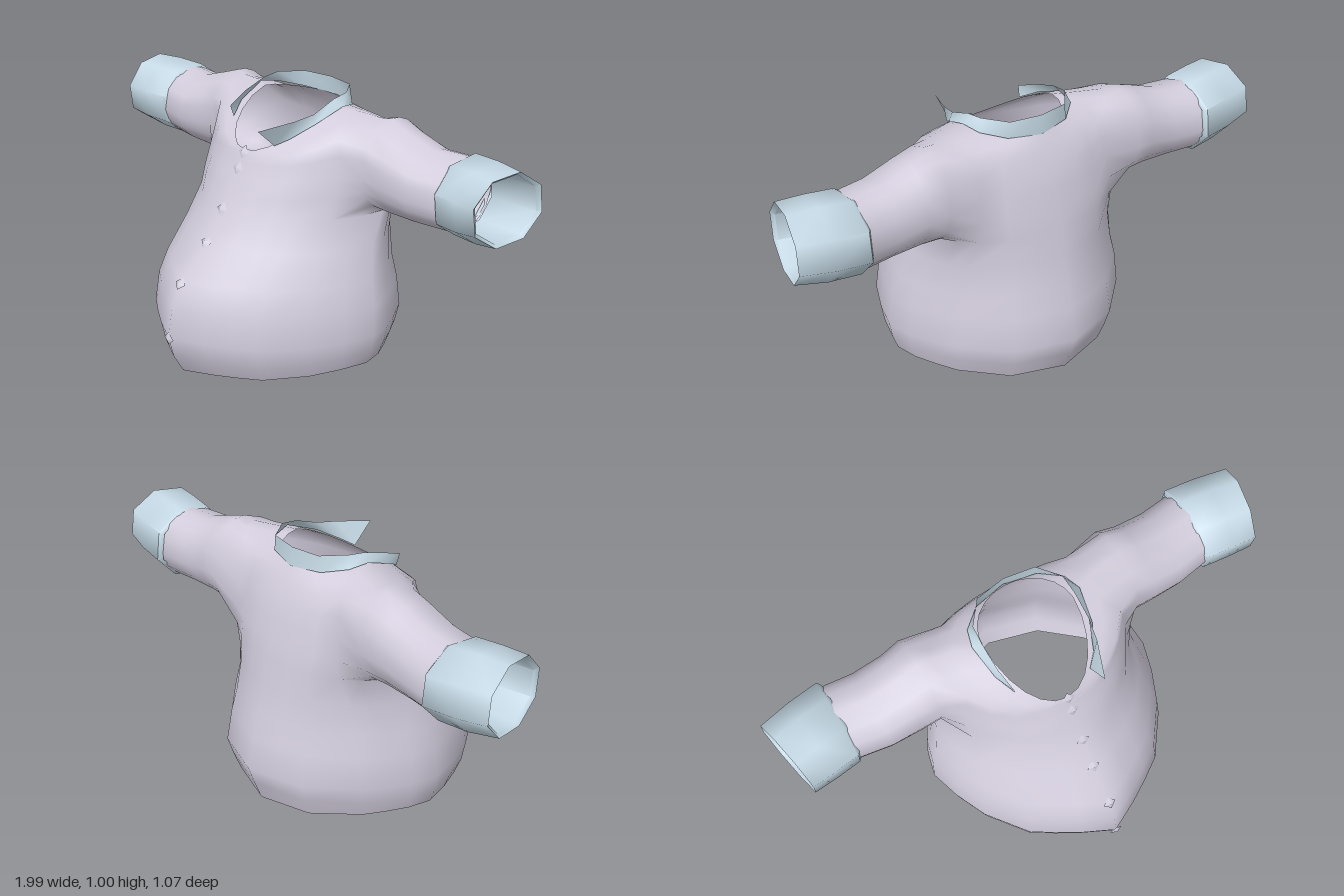
import * as THREE from 'three';
import { toCreasedNormals } from 'three/addons/utils/BufferGeometryUtils.js';

const N = 24; // columns around the torso, column 0 is the front
const fabric = new THREE.MeshStandardMaterial({ color: 0xd2ccdc, side: THREE.DoubleSide });
const trim = new THREE.MeshStandardMaterial({ color: 0xc4d8e4, side: THREE.DoubleSide });

// torso rings: half width, front z, back z, widest z, then y at front, side, back
const ROWS = [
  [0.47, 0.465, -0.475, -0.04, 0.012, 0.047, 0.022],
  [0.49, 0.508, -0.505, -0.04, 0.085, 0.1, 0.1],
  [0.503, 0.53, -0.53, -0.04, 0.17, 0.17, 0.175],
  [0.492, 0.51, -0.50, -0.05, 0.29, 0.29, 0.3],
  [0.465, 0.465, -0.475, -0.06, 0.38, 0.38, 0.39],
  [0.43, 0.345, -0.445, -0.10, 0.50, 0.50, 0.50],
  [0.405, 0.265, -0.425, -0.17, 0.61, 0.61, 0.61],
  [0.40, 0.225, -0.405, -0.19, 0.68, 0.69, 0.68],
  [0.395, 0.195, -0.385, -0.19, 0.73, 0.78, 0.76],
  [0.385, 0.17, -0.365, -0.19, 0.78, 0.88, 0.82],
  [0.37, 0.16, -0.34, -0.18, 0.80, 0.96, 0.87],
  [0.28, 0.155, -0.32, -0.16, 0.81, 0.967, 0.91],
  [0.185, 0.15, -0.295, -0.12, 0.82, 0.967, 0.945],
];
const ARM_LOW = 6, ARM_HIGH = 10, ARM_COLS = 5;

// faceted plan of the belly, from front over the side to the back
const PLAN_X = [0, 0.25, 0.42, 0.59, 0.82, 0.93, 1, 0.95, 0.86, 0.76, 0.44, 0.22, 0];
const PLAN_Z = [1, 0.89, 0.8, 0.7, 0.43, 0.21, 0, -0.2, -0.38, -0.55, -0.86, -0.93, -1];

// point on a ring from its plan direction (sx sideways, cz forwards)
function ringPoint([hw, zf, zb, zc, yf, ys, yb], sx, cz) {
  const z = cz > 0 ? zc + (zf - zc) * cz : zc - (zb - zc) * cz;
  return [hw * sx, ys + ((cz > 0 ? yf : yb) - ys) * Math.abs(cz) ** 1.35, z];
}

// faceted below, rounding to an ellipse towards the neck
function torsoPoint(r, i) {
  const a = (i / N) * Math.PI * 2, half = Math.min(i, N - i);
  const round = THREE.MathUtils.clamp((r - 4) / 3, 0, 1);
  const sx = THREE.MathUtils.lerp(PLAN_X[half] * (i > N / 2 ? -1 : 1), Math.sin(a), round);
  return ringPoint(ROWS[r], sx, THREE.MathUtils.lerp(PLAN_Z[half], Math.cos(a), round));
}

function buildGeometry(points, index) {
  const g = new THREE.BufferGeometry();
  g.setAttribute('position', new THREE.Float32BufferAttribute(points.flat(), 3));
  g.setIndex(index);
  g.computeVertexNormals();
  return g;
}

// torso and sleeves as one smooth skin; sleeves grow out of the armhole edges
function shirtGeometry() {
  const pts = [], idx = [];
  const quad = (a, b, c, d) => idx.push(a, b, c, a, c, d);
  const id = (r, c) => r * N + (c % N);
  ROWS.forEach((_, r) => {
    for (let i = 0; i < N; i++) pts.push(torsoPoint(r, i));
  });
  const starts = { 1: 4, [-1]: N - 4 - ARM_COLS };
  const inHole = (r, c) => r >= ARM_LOW && r < ARM_HIGH &&
    Object.values(starts).some((s) => c >= s && c < s + ARM_COLS);
  for (let r = 0; r < ROWS.length - 1; r++)
    for (let c = 0; c < N; c++)
      if (!inHole(r, c)) quad(id(r, c), id(r, c + 1), id(r + 1, c + 1), id(r + 1, c));

  // sleeve rings: x, centre y, half height, centre z, half depth
  const sleeve = [
    [0.42, 0.793, 0.174, -0.195, 0.16], [0.50, 0.78, 0.16, -0.19, 0.153],
    [0.62, 0.762, 0.138, -0.195, 0.152], [0.75, 0.762, 0.138, -0.213, 0.148],
  ];
  for (const s of [1, -1]) {
    const c0 = starts[s], c1 = c0 + ARM_COLS;
    let loop = [];
    for (let c = c0; c < c1; c++) loop.push(id(ARM_LOW, c));
    for (let r = ARM_LOW; r < ARM_HIGH; r++) loop.push(id(r, c1));
    for (let c = c1; c > c0; c--) loop.push(id(ARM_HIGH, c));
    for (let r = ARM_HIGH; r > ARM_LOW; r--) loop.push(id(r, c0));
    const angles = loop.map((i) => Math.atan2((pts[i][1] - 0.785) / 0.17, (pts[i][2] + 0.19) / 0.16));
    for (const [x, cy, ry, cz, rz] of sleeve) {
      const next = angles.map((a) =>
        pts.push([s * x, cy + ry * Math.sin(a), cz + rz * Math.cos(a)]) - 1);
      loop.forEach((p, k) => {
        const n = (k + 1) % loop.length;
        quad(p, loop[n], next[n], next[k]);
      });
      loop = next;
    }
  }
  return buildGeometry(pts, idx);
}

// eight-sided cuff with a slanted opening and a turned-in lining
function cuffGeometry(s) {
  const rings = [ // x, slant, centre y, half height, centre z, half depth
    [0.735, 0, 0.763, 0.138, -0.214, 0.15],
    [0.748, 0, 0.764, 0.147, -0.216, 0.168],
    [0.86, -0.08, 0.769, 0.148, -0.2, 0.166],
    [0.968, -0.19, 0.778, 0.136, -0.18, 0.157],
    [0.955, -0.19, 0.777, 0.124, -0.183, 0.14],
    [0.78, 0, 0.768, 0.122, -0.2, 0.132],
  ];
  const pts = [], idx = [], M = 8;
  rings.forEach(([x, slant, cy, ry, cz, rz]) => {
    for (let i = 0; i < M; i++) {
      const a = ((i + 0.35) / M) * Math.PI * 2, z = rz * Math.cos(a);
      pts.push([s * (x + slant * z), cy + ry * Math.sin(a), cz + z]);
    }
  });
  for (let r = 0; r < rings.length - 1; r++)
    for (let i = 0; i < M; i++) {
      const a = r * M + i, b = r * M + ((i + 1) % M), c = b + M, d = a + M;
      if (s > 0) idx.push(a, d, c, a, c, b);
      else idx.push(a, c, d, a, b, c);
    }
  return toCreasedNormals(buildGeometry(pts, idx), 1);
}

// standing collar, open at the front, ending in two uneven points
function collarGeometry() {
  const base = ROWS[12].map((v, i) => v + (ROWS[11][i] - v) * 0.4);
  const edge = [ // angle in degrees from the front, top edge position
    [32, 0.125, 0.93, 0.195], [45, 0.175, 0.95, 0.06], [65, 0.19, 0.963, -0.02],
    [90, 0.19, 1.0, -0.12], [115, 0.185, 1.01, -0.19], [145, 0.12, 1.01, -0.275],
    [180, 0, 1.01, -0.295], [215, -0.12, 1.01, -0.275], [245, -0.185, 1.01, -0.19],
    [270, -0.19, 1.0, -0.12], [295, -0.187, 0.967, -0.02], [312, -0.17, 0.93, 0.07],
  ];
  const pts = [], idx = [];
  edge.forEach(([deg, ...top], i) => {
    const a = THREE.MathUtils.degToRad(deg);
    const [x, y, z] = ringPoint(base, Math.sin(a), Math.cos(a));
    pts.push([x, y + 0.008, z], top);
    if (i) idx.push(2 * i - 2, 2 * i, 2 * i + 1, 2 * i - 2, 2 * i + 1, 2 * i - 1);
  });
  return buildGeometry(pts, idx);
}

export function createModel() {
  const group = new THREE.Group();
  const add = (name, geometry, material) => {
    const mesh = new THREE.Mesh(geometry, material);
    mesh.name = name;
    group.add(mesh);
    return mesh;
  };
  add('shirt', shirtGeometry(), fabric);
  add('leftCuff', cuffGeometry(1), trim);
  add('rightCuff', cuffGeometry(-1), trim);
  add('collar', collarGeometry(), trim);

  // small four-pointed buttons down the front: y, z, tilt
  const stud = new THREE.ConeGeometry(0.026, 0.012, 4).rotateX(Math.PI / 2).translate(0, 0, 0.005);
  [[0.17, 0.53, 0], [0.375, 0.468, -0.7], [0.505, 0.342, -0.75], [0.615, 0.263, -0.5],
    [0.755, 0.183, -0.45], [0.812, 0.154, -0.5]].forEach(([y, z, tilt]) => {
    const b = add('button', stud, fabric);
    b.position.set(0, y, z);
    b.rotation.x = tilt;
  });
  return group;
}
